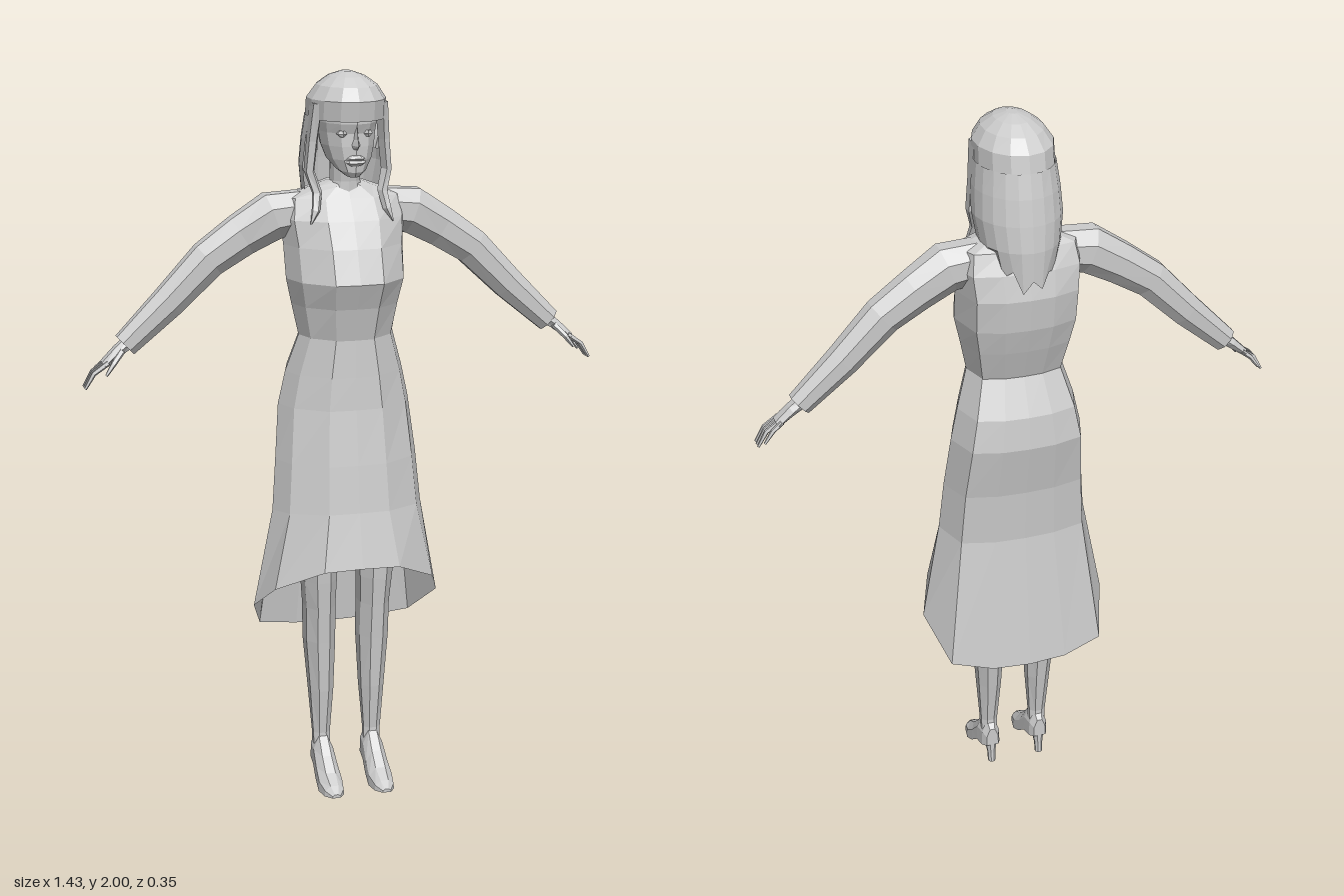
import * as THREE from 'three';

const grey = new THREE.MeshStandardMaterial({ color: 0xcccccc, flatShading: true, side: THREE.DoubleSide });

// Skin a stack of rings (lists of [x, y, z]); rings run counter-clockwise about the direction of travel.
function loft(rings, { closed = true, caps = true } = {}) {
  const n = rings[0].length, pos = rings.flat(2), idx = [];
  for (let i = 0; i < rings.length - 1; i++) {
    for (let j = 0; j < (closed ? n : n - 1); j++) {
      const a = i * n + j, b = i * n + (j + 1) % n;
      idx.push(a, b, b + n, a, b + n, a + n);
    }
  }
  if (closed && caps) {
    const top = (rings.length - 1) * n;
    for (let j = 1; j < n - 1; j++) idx.push(0, j + 1, j, top, top + j, top + j + 1);
  }
  const g = new THREE.BufferGeometry();
  g.setAttribute('position', new THREE.Float32BufferAttribute(pos, 3));
  g.setIndex(idx);
  g.computeVertexNormals();
  return g;
}

// Unit arc as [x, z], starting at the front and turning towards +x.
const arc = (n, a0 = 0, a1 = Math.PI * 2, full = true) => Array.from({ length: n }, (_, i) => {
  const a = a0 + (a1 - a0) * i / (full ? n : n - 1);
  return [Math.sin(a), Math.cos(a)];
});

// Horizontal ring fitted to half width and front/back depth; the height may differ front to back.
const ring = (section, yFront, w, zf, zb, yBack = yFront, cx = 0) => section.map(([x, t]) => [
  cx + x * w, yFront + (yBack - yFront) * (1 - t) / 2, (zf + zb) / 2 + t * (zf - zb) / 2]);

// Tube along points [x, y, z, thickness in the xy plane, thickness in z].
function sweep(points, sides) {
  return loft(points.map((p, i) => {
    const a = points[Math.max(i - 1, 0)], b = points[Math.min(i + 1, points.length - 1)];
    const dx = b[0] - a[0], dy = b[1] - a[1], l = Math.hypot(dx, dy);
    return Array.from({ length: sides }, (_, j) => {
      const t = (j + 0.5) / sides * Math.PI * 2, u = Math.cos(t) * p[3], v = Math.sin(t) * p[4];
      return [p[0] - dy / l * u, p[1] + dx / l * u, p[2] + v];
    });
  }));
}

function mirrored(geometry) {
  const g = geometry.clone().scale(-1, 1, 1), ix = g.index.array;
  for (let i = 0; i < ix.length; i += 3) [ix[i], ix[i + 1]] = [ix[i + 1], ix[i]];
  g.computeVertexNormals();
  return g;
}

export function createModel() {
  const model = new THREE.Group();
  const add = (name, g) => {
    const m = new THREE.Mesh(g, grey);
    m.name = name;
    model.add(m);
  };
  const pair = (name, g) => {
    add(name + 'Left', g);
    add(name + 'Right', mirrored(g));
  };

  // Dress: one angular section shared by skirt and bodice
  const half = [[0, 1], [0.4, 0.97], [0.85, 0.5], [1, -0.05], [0.83, -0.8], [0.4, -0.97], [0, -1]];
  const body = [...half, ...half.slice(1, -1).reverse().map(([x, z]) => [-x, z])];
  const dressRing = r => ring(body, ...r);
  add('skirt', loft([
    [0.67, 0.265, 0.175, -0.155, 0.41],
    [0.82, 0.212, 0.145, -0.11, 0.8],
    [0.95, 0.2, 0.13, -0.12],
    [1.1, 0.185, 0.11, -0.15],
    [1.19, 0.165, 0.105, -0.14],
    [1.295, 0.132, 0.1, -0.095],
  ].map(dressRing), { caps: false }));
  add('bodice', loft([
    [1.29, 0.131, 0.1, -0.095],
    [1.38, 0.15, 0.122, -0.125],
    [1.45, 0.165, 0.15, -0.145],
    [1.54, 0.167, 0.118, -0.155],
    [1.61, 0.175, 0.085, -0.14],
    [1.665, 0.165, 0.045, -0.115],
    [1.695, 0.085, 0.028, -0.08],
    [1.71, 0.045, 0.022, -0.06],
  ].map(dressRing)));

  // Sleeves with open-looking cuffs
  pair('sleeve', sweep([
    [0.11, 1.625, -0.04, 0.06, 0.055],
    [0.195, 1.615, -0.04, 0.068, 0.058],
    [0.28, 1.565, -0.045, 0.06, 0.05],
    [0.37, 1.505, -0.045, 0.054, 0.046],
    [0.48, 1.395, -0.045, 0.047, 0.039],
    [0.6, 1.285, -0.042, 0.036, 0.03],
  ], 8));

  // Hands
  pair('palm', sweep([
    [0.58, 1.3, -0.04, 0.02, 0.02],
    [0.62, 1.272, -0.038, 0.016, 0.025],
    [0.66, 1.238, -0.034, 0.011, 0.028],
  ], 6));
  for (let f = 0; f < 4; f++) {
    const z = -0.055 + f * 0.014, reach = f === 0 ? -0.015 : 0;
    pair('finger' + (f + 1), sweep([
      [0.65, 1.245, z, 0.008, 0.007],
      [0.69 + reach, 1.218 - reach / 2, z - 0.002 + f * 0.001, 0.007, 0.006],
      [0.714 + reach, 1.178 - reach, z - 0.004 + f * 0.002, 0.004, 0.004],
    ], 5));
  }
  pair('thumb', sweep([
    [0.61, 1.275, -0.02, 0.009, 0.009],
    [0.638, 1.245, 0, 0.008, 0.008],
    [0.66, 1.215, 0.008, 0.004, 0.004],
  ], 5));

  // Legs
  const oval = arc(8, Math.PI / 8, Math.PI * 2.125);
  pair('leg', loft([
    [0.08, 0.025, 0.03, -0.025, 0.073],
    [0.14, 0.026, 0.026, -0.021, 0.074],
    [0.27, 0.036, 0.042, -0.043, 0.074],
    [0.42, 0.045, 0.055, -0.066, 0.077],
    [0.52, 0.045, 0.064, -0.068, 0.078],
    [0.6, 0.05, 0.072, -0.062, 0.08],
    [0.8, 0.065, 0.088, -0.07, 0.085],
    [1.05, 0.075, 0.09, -0.085, 0.088],
  ].map(([y, w, f, b, cx]) => ring(oval, y, w, f, b, y, cx))));

  // Shoes: sections from heel to toe, [z, top, bottom, half width]
  pair('shoe', loft([
    [-0.033, 0.115, 0.06, 0.018],
    [-0.015, 0.135, 0.055, 0.027],
    [0.025, 0.13, 0.048, 0.03],
    [0.065, 0.085, 0.018, 0.033],
    [0.105, 0.05, 0, 0.035],
    [0.145, 0.028, 0, 0.028],
    [0.169, 0.012, 0.002, 0.012],
  ].map(([z, t, b, w]) => [[1, 0], [0.95, 0.55], [0.4, 1], [-0.4, 1], [-0.95, 0.55], [-1, 0]]
    .map(([x, y]) => [0.073 + x * w, b + y * (t - b), z]))));
  pair('shoeHeel', loft([
    [0, 0.011, -0.013, -0.035],
    [0.03, 0.012, -0.008, -0.033],
    [0.075, 0.02, 0.012, -0.033],
  ].map(([y, w, f, b]) => ring(oval, y, w, f, b, y, 0.073))));

  // Neck and head
  const round = arc(12);
  add('neck', loft([
    [1.66, 0.055, 0.035, -0.07],
    [1.71, 0.042, 0.035, -0.055],
    [1.78, 0.042, 0.045, -0.05],
  ].map(r => ring(round, ...r))));
  add('head', loft([
    [1.728, 0.022, 0.092, 0.03, 1.74],
    [1.742, 0.04, 0.102, -0.01, 1.755],
    [1.775, 0.06, 0.105, -0.06],
    [1.81, 0.071, 0.106, -0.09],
    [1.845, 0.076, 0.104, -0.1],
    [1.87, 0.079, 0.113, -0.105],
    [1.94, 0.078, 0.11, -0.105],
    [1.98, 0.045, 0.06, -0.06],
  ].map(r => ring(round, ...r))));

  // Facial features
  const wedge = [[0, 1], [1, -1], [-1, -1]];
  add('nose', loft([
    [1.803, 0.013, 0.112, 0.09],
    [1.814, 0.016, 0.13, 0.09],
    [1.83, 0.01, 0.122, 0.09],
    [1.862, 0.007, 0.112, 0.09],
  ].map(r => ring(wedge, ...r))));
  add('lips', loft([
    [1.76, 0.014, 0.107, 0.09],
    [1.768, 0.026, 0.114, 0.085],
    [1.774, 0.028, 0.107, 0.085],
    [1.78, 0.025, 0.115, 0.085],
    [1.788, 0.012, 0.108, 0.09],
  ].map(r => ring(arc(8), ...r))));
  pair('eye', loft([
    [1.836, 0.007, 0.099, 0.07],
    [1.844, 0.016, 0.102, 0.07],
    [1.853, 0.009, 0.101, 0.07],
  ].map(([y, w, f, b]) => ring(arc(6), y, w, f, b, y, 0.034))));
  pair('ear', sweep([
    [0.083, 1.79, -0.015, 0.012, 0.01],
    [0.09, 1.825, -0.018, 0.015, 0.02],
    [0.092, 1.855, -0.02, 0.012, 0.016],
  ], 6));

  // Hair: crown with fringe, long back fall, loose front locks
  add('hairCrown', loft([
    [1.878, 0.105, 0.128, -0.142],
    [1.93, 0.104, 0.136, -0.132],
    [1.965, 0.08, 0.115, -0.1],
    [1.988, 0.048, 0.075, -0.06],
    [2.0, 0.014, 0.03, -0.015],
  ].map(r => ring(arc(14), ...r))));
  const fall = arc(13, Math.PI * 0.44, Math.PI * 1.56, false);
  const tips = [0.09, 0.07, 0.1, 0.04, 0.06, 0, 0.035, 0.01, 0.05, 0.04, 0.1, 0.07, 0.09];
  const ends = ring(fall, 1.565, 0.088, 0.06, -0.17).map(([x, y, z], i) => [x, y + tips[i], z]);
  add('hairFall', loft([ends, ...[
    [1.68, 0.108, 0.08, -0.172],
    [1.75, 0.118, 0.1, -0.165],
    [1.82, 0.114, 0.115, -0.155],
    [1.885, 0.106, 0.125, -0.142],
  ].map(r => ring(fall, ...r))], { closed: false }));
  pair('frontLock', sweep([
    [0.088, 1.92, 0.03, 0.016, 0.04],
    [0.098, 1.82, 0.022, 0.015, 0.028],
    [0.106, 1.74, 0.02, 0.014, 0.026],
    [0.09, 1.685, 0.04, 0.014, 0.016],
    [0.098, 1.64, 0.058, 0.012, 0.012],
    [0.113, 1.605, 0.066, 0.002, 0.003],
  ], 5));

  return model;
}
